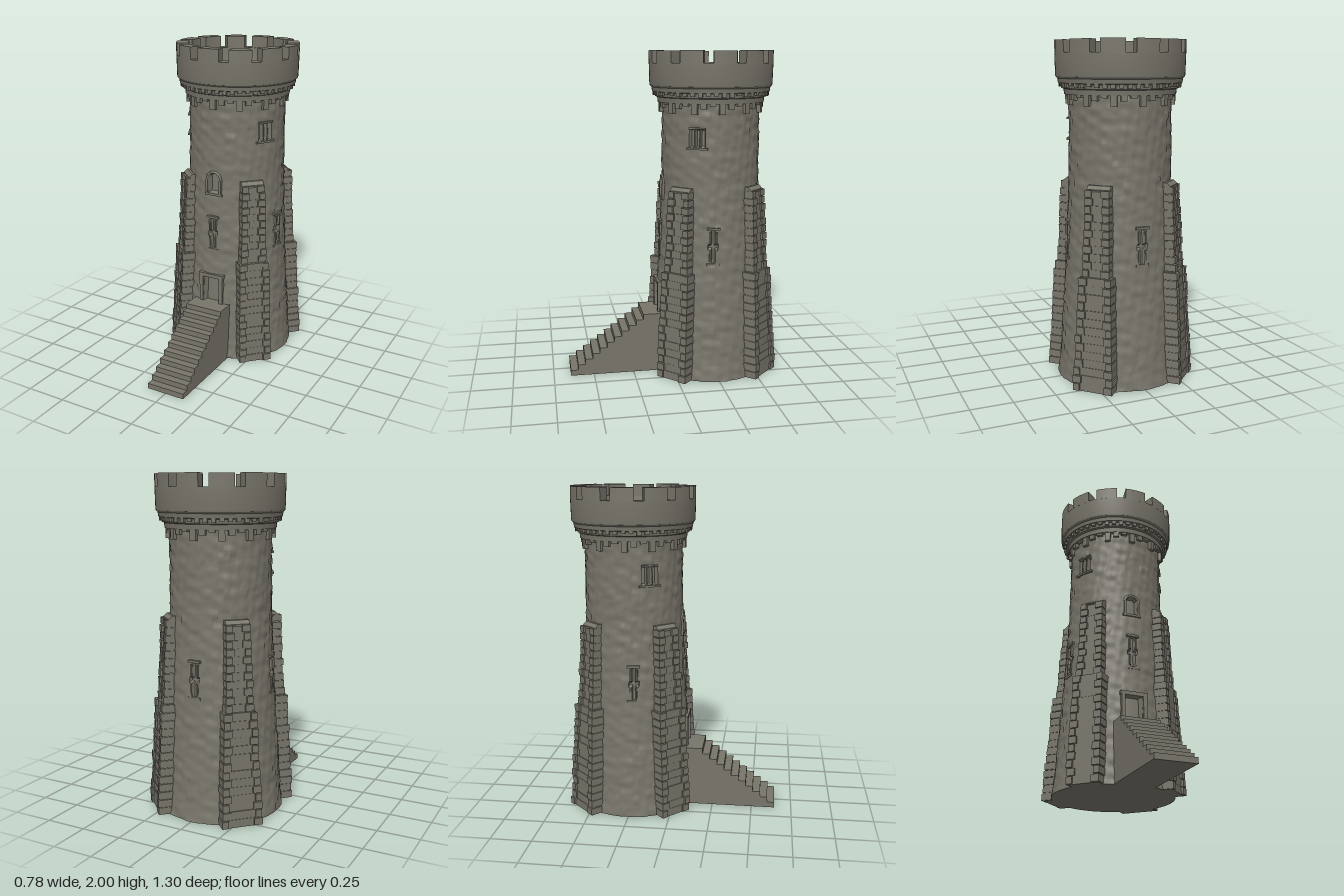
import * as THREE from 'three';
import { mergeGeometries, mergeVertices, toCreasedNormals } from 'three/addons/utils/BufferGeometryUtils.js';

const AXIS_Z = -0.26; // tower axis
const lerp = THREE.MathUtils.lerp;
const hash = (a, b) => { const s = Math.sin(a * 127.1 + b * 311.7) * 43758.5453; return s - Math.floor(s); };

// Wall radius by height
const PROFILE = [[0, 0.375], [0.1, 0.362], [0.4, 0.343], [0.66, 0.326], [1.0, 0.311], [1.2, 0.303], [1.72, 0.3]];
function wallRadius(y) {
  for (let i = 1; i < PROFILE.length; i++) {
    const [y0, r0] = PROFILE[i - 1], [y1, r1] = PROFILE[i];
    if (y <= y1) return lerp(r0, r1, (y - y0) / (y1 - y0));
  }
  return 0.3;
}

// Openings sunk into the wall: u is measured along the wall from the angle a
const LANCET = 1.09, SLIT = 1.43;
const OPENINGS = [
  { a: 0, depth: 0.035, inside: (u, y) => Math.abs(u) < 0.055 && y > 0.37 && y < 0.55 },
  { a: 0, depth: 0.03, inside: (u, y) => Math.abs(u) < 0.038 && y > 1.1 && (y < 1.19 || Math.hypot(u, y - 1.19) < 0.04) },
];
for (const a of [LANCET, -LANCET]) OPENINGS.push({
  a, depth: 0.03,
  inside: (u, y) => [-0.036, 0, 0.036].some(c => Math.abs(u - c) < 0.012) && y > 1.44 && y < 1.54,
});
for (const a of [0, SLIT, -SLIT, Math.PI]) OPENINGS.push({
  a, depth: 0.018,
  inside: (u, y) => y > 0.74 && y < 0.94 && (Math.abs(u) < 0.01 || (Math.abs(u) < 0.03 && Math.abs(y - 0.84) < 0.012)),
});

// Rough coursed masonry with the openings pressed in
function wallGeometry() {
  const seg = 300, rows = 130, H = 1.72;
  const g = new THREE.CylinderGeometry(1, 1, H, seg, rows, true);
  const p = g.attributes.position;
  for (let i = 0; i < p.count; i++) {
    const a = ((i % (seg + 1)) % seg) / seg * Math.PI * 2;
    const y = p.getY(i) + H / 2;
    let r = wallRadius(y);
    const row = Math.floor(y / 0.04);
    const block = Math.floor((a / (Math.PI * 2)) * 28 + (row % 2) * 0.5) % 28;
    let offset = (hash(row, block) - 0.5) * 0.006 + 0.002 * Math.sin(a * 23 + y * 31) * Math.sin(a * 9 - y * 47);
    for (const o of OPENINGS) {
      const d = Math.atan2(Math.sin(a - o.a), Math.cos(a - o.a));
      if (Math.abs(d) < 1 && o.inside(d * r, y)) offset = -o.depth;
    }
    r += offset;
    p.setXYZ(i, Math.sin(a) * r, y, Math.cos(a) * r);
  }
  g.deleteAttribute('normal');
  g.deleteAttribute('uv');
  return toCreasedNormals(mergeVertices(g, 1e-5), 0.8);
}

// Sector of a ring standing between y0 and y1
function sector(r0, r1, a0, a1, y0, y1) {
  const s = new THREE.Shape();
  s.absarc(0, 0, r1, a0, a1, false);
  s.absarc(0, 0, r0, a1, a0, true);
  return new THREE.ExtrudeGeometry(s, { depth: y1 - y0, bevelEnabled: false, curveSegments: 6 })
    .rotateX(-Math.PI / 2).translate(0, y0, 0);
}

// Buttress built outward along +z: two columns of corner stones with a sunken panel
function buttressGeometry(baseWidth, seed) {
  const parts = [];
  const add = (w, h, d, x, y, z) => parts.push(new THREE.BoxGeometry(w, h, d).translate(x, y, z - d / 2));
  const stages = [
    { y0: 0, y1: 0.67, n: 14, d0: 0.43, d1: 0.392, w0: baseWidth, w1: 0.195 },
    { y0: 0.67, y1: 1.17, n: 11, d0: 0.378, d1: 0.352, w0: 0.165, w1: 0.145 },
  ];
  stages.forEach((s, k) => {
    const h = (s.y1 - s.y0) / s.n;
    for (let i = 0; i < s.n; i++) {
      const t = (i + 0.5) / s.n, y = s.y0 + (i + 0.5) * h;
      const d = lerp(s.d0, s.d1, t), w = lerp(s.w0, s.w1, t);
      add(w - 0.012, h, 0.2, 0, y, d - 0.014 + hash(seed, i + k * 20) * 0.005);
      for (const side of [-1, 1]) {
        const j = hash(seed + side, i + k * 40);
        const qw = (i + (side > 0)) % 2 ? 0.05 : 0.038;
        add(qw, h - 0.006, 0.2, side * (w / 2 - qw / 2 + (j - 0.5) * 0.006), y, d + (j - 0.5) * 0.008);
      }
    }
  });
  // sloping cap stone
  const cap = new THREE.BoxGeometry(0.14, 0.03, 0.12).translate(0, 1.175, 0.288);
  const p = cap.attributes.position;
  for (let i = 0; i < p.count; i++) if (p.getY(i) > 1.18 && p.getZ(i) > 0.3) p.setZ(i, 0.315);
  cap.computeVertexNormals();
  parts.push(cap);
  return mergeGeometries(parts);
}

export function createModel() {
  const model = new THREE.Group();
  const stone = new THREE.MeshStandardMaterial({ color: 0x78756a });
  stone.name = 'stone';
  const tower = new THREE.Group();
  tower.name = 'tower';
  tower.position.z = AXIS_Z;
  model.add(tower);
  const add = (name, geometry, parent = tower) => {
    const m = new THREE.Mesh(geometry, stone);
    m.name = name;
    parent.add(m);
    return m;
  };

  add('wall', wallGeometry());
  add('underside', new THREE.CircleGeometry(0.375, 64).rotateX(Math.PI / 2));

  // Four diagonal buttresses, the rear pair a little wider
  [[1, 0.21], [3, 0.245], [5, 0.245], [7, 0.21]].forEach(([k, w], i) => {
    add('buttress', buttressGeometry(w, i * 7 + 1)).rotation.y = k * Math.PI / 4;
  });

  // Stepped cornice, parapet and roof floor in one profile
  const ring = [[0.298, 1.69], [0.327, 1.69], [0.33, 1.72], [0.343, 1.725], [0.347, 1.75], [0.362, 1.755], [0.366, 1.78],
    [0.376, 1.79], [0.378, 1.8], [0.381, 1.925], [0.305, 1.925], [0.3, 1.85], [0.285, 1.79], [0.28, 1.78], [0, 1.78]];
  add('parapet', toCreasedNormals(new THREE.LatheGeometry(ring.map(q => new THREE.Vector2(...q)), 72), 0.5));

  // Corbels of alternating length under the cornice
  const corbels = [];
  for (let i = 0; i < 36; i++) {
    const h = i % 3 === 0 ? 0.065 : i % 3 === 1 ? 0.035 : 0.018;
    corbels.push(new THREE.BoxGeometry(0.036, h, 0.05).translate(0, 1.695 - h / 2, 0.297).rotateY(i * Math.PI / 18));
  }
  for (let i = 0; i < 48; i++) {
    const h = 0.014 + hash(i, 3) * 0.012;
    corbels.push(new THREE.BoxGeometry(0.026, h, 0.04).translate(0, 1.754 - h / 2, 0.338).rotateY(i * Math.PI / 24));
  }
  add('corbels', mergeGeometries(corbels));

  // Twelve merlons
  for (let i = 0; i < 12; i++) {
    const a = i * Math.PI / 6, half = 0.178 + hash(i, 9) * 0.015;
    add('merlon', sector(0.303 + hash(i, 5) * 0.008, 0.381, a - half, a + half, 1.92, 1.995 + hash(i, 2) * 0.005));
  }

  // Stone trim around the openings, set against the wall at an angle
  const trim = (name, a, y, boxes) => {
    const g = mergeGeometries(boxes.map(([w, h, x, dy]) => new THREE.BoxGeometry(w, h, 0.03).translate(x, dy, 0)));
    g.translate(0, y, wallRadius(y) - 0.006).rotateY(a);
    return add(name, g);
  };
  trim('doorFrame', 0, 0.46, [[0.024, 0.2, -0.07, 0], [0.024, 0.2, 0.07, 0], [0.175, 0.024, 0, 0.098]]);
  trim('windowFrame', 0, 1.145, [[0.014, 0.09, -0.046, 0], [0.014, 0.09, 0.046, 0], [0.12, 0.014, 0, -0.05]]);
  add('windowArch', new THREE.TorusGeometry(0.047, 0.009, 6, 16, Math.PI).translate(0, 1.19, wallRadius(1.19)));
  for (const side of [-1, 1]) trim('lancetSill', side * LANCET, 1.49, [[0.13, 0.012, 0, -0.062], [0.1, 0.01, 0, 0.058]]);
  for (const a of [0, SLIT, -SLIT, Math.PI]) {
    trim('slitTrim', a, 0.84, [[0.08, 0.014, 0, 0.108], [0.08, 0.014, 0, -0.108],
      [0.01, 0.07, 0.02, 0.055], [0.01, 0.07, -0.02, 0.055], [0.01, 0.07, 0.02, -0.055], [0.01, 0.07, -0.02, -0.055]]);
  }

  // Straight stair up to the door, cut from one side profile
  const steps = 11, rise = 0.375 / steps, run = 0.046;
  const side = new THREE.Shape();
  side.moveTo(0, 0);
  side.lineTo(0.645, 0);
  for (let i = 0; i < steps; i++) {
    side.lineTo(0.645 - i * run, (i + 1) * rise);
    side.lineTo(i === steps - 1 ? 0 : 0.645 - (i + 1) * run, (i + 1) * rise);
  }
  side.closePath();
  add('stairs', new THREE.ExtrudeGeometry(side, { depth: 0.25, bevelEnabled: false })
    .rotateY(-Math.PI / 2).translate(0.125, 0, 0), model);
  return model;
}
